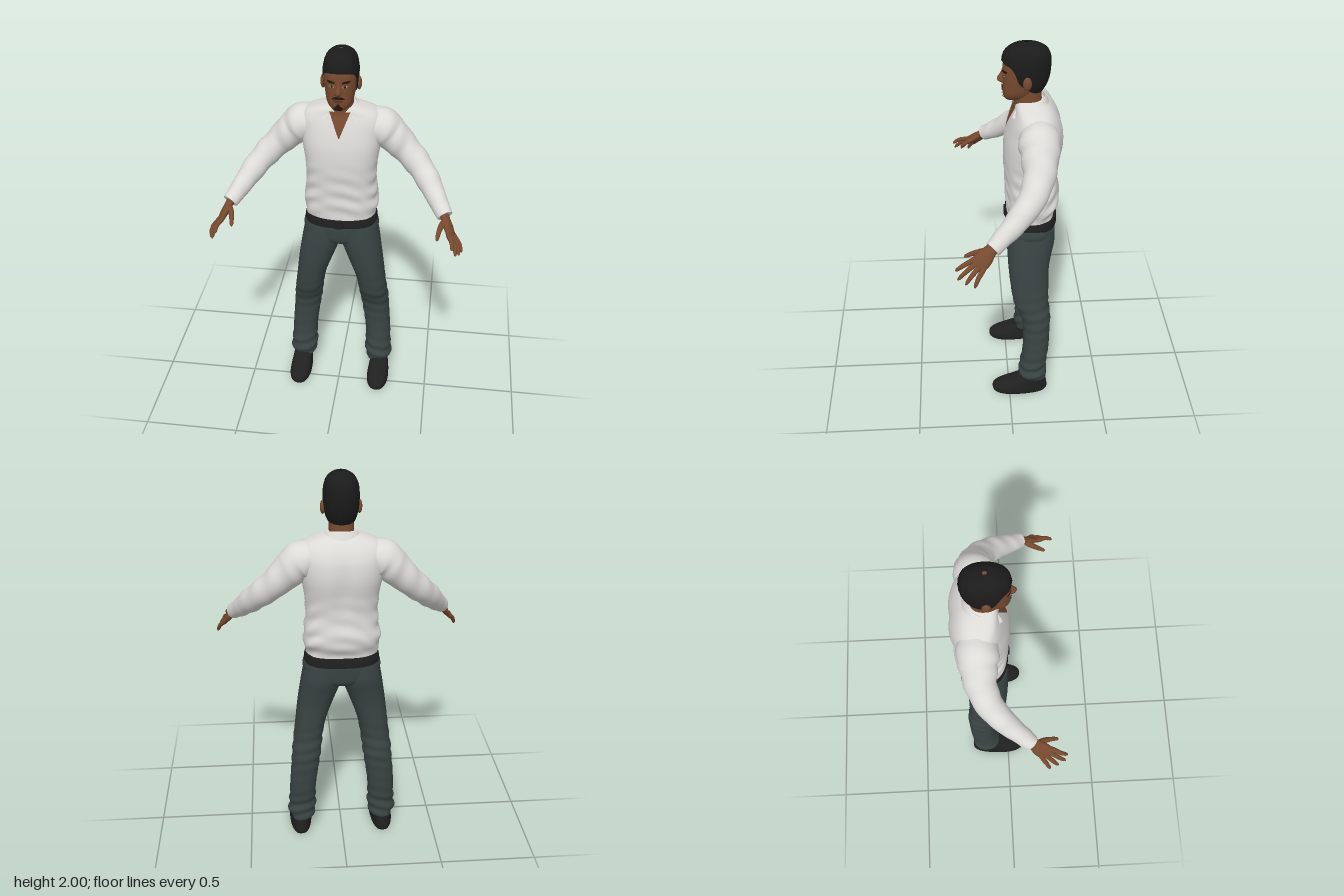
import * as THREE from 'three';

const V = (x, y, z) => new THREE.Vector3(x, y, z);
const mat = (name, color, double) => {
  const m = new THREE.MeshStandardMaterial({ color });
  m.name = name;
  if (double) m.side = THREE.DoubleSide;
  return m;
};

// Surface from f(u, v); rings can be closed and capped
function grid(f, nu, nv, closed = true, caps = closed) {
  const pos = [], idx = [], cols = closed ? nu : nu + 1;
  for (let i = 0; i <= nv; i++)
    for (let j = 0; j < cols; j++) pos.push(...f(j / nu, i / nv).toArray());
  for (let i = 0; i < nv; i++)
    for (let j = 0; j < nu; j++) {
      const k = (j + 1) % cols, a = i * cols + j, b = i * cols + k;
      idx.push(a, a + cols, b, b, a + cols, b + cols);
    }
  if (caps) for (const row of [0, nv]) {
    const start = pos.length / 3, mid = V(0, 0, 0);
    for (let j = 0; j < nu; j++) {
      const p = f(j / nu, row / nv);
      mid.addScaledVector(p, 1 / nu);
      pos.push(...p.toArray());
    }
    pos.push(...mid.toArray());
    for (let j = 0; j < nu; j++) {
      const a = start + j, b = start + (j + 1) % nu;
      idx.push(start + nu, row ? b : a, row ? a : b);
    }
  }
  const g = new THREE.BufferGeometry();
  g.setAttribute('position', new THREE.Float32BufferAttribute(pos, 3));
  g.setIndex(idx);
  g.computeVertexNormals();
  return g;
}

// Smooth interpolation of rows keyed by their first number
function sample(rows, y) {
  const n = rows.length - 1;
  let i = 0;
  while (i < n - 1 && y > rows[i + 1][0]) i++;
  const A = rows[i], B = rows[i + 1], h = B[0] - A[0];
  const t = Math.min(1, Math.max(0, (y - A[0]) / h));
  const slope = (k, c) => {
    const p = rows[Math.max(0, k - 1)], q = rows[Math.min(n, k + 1)];
    return (q[c] - p[c]) / (q[0] - p[0]);
  };
  return A.map((a, c) => a * (1 + 2 * t) * (1 - t) ** 2 + B[c] * t * t * (3 - 2 * t)
    + h * (slope(i, c) * t * (1 - t) ** 2 + slope(i + 1, c) * t * t * (t - 1)));
}

// Upright body with rows [y, xMin, xMax, zBack, zFront]
const pow = (c, e) => Math.sign(c) * Math.abs(c) ** e;
function bodyPoint(rows, ang, y, n) {
  const [, x0, x1, z0, z1] = sample(rows, y);
  return V((x0 + x1) / 2 + (x1 - x0) / 2 * pow(Math.cos(ang), 2 / n), y,
    (z0 + z1) / 2 + (z1 - z0) / 2 * pow(Math.sin(ang), 2 / n));
}
function body(rows, { n = 2.3, nu = 48, nv = 40, warp = p => p } = {}) {
  const lo = rows[0][0], hi = rows[rows.length - 1][0];
  return grid((u, v) => warp(bodyPoint(rows, u * Math.PI * 2, lo + (hi - lo) * v, n), u * Math.PI * 2), nu, nv);
}
const sym = rows => rows.map(([y, rx, back, front]) => [y, -rx, rx, back, front]);

// Thin plate on the front of a body, rows [y, xMin, xMax]
function plate(rows, bodyRows, n, lift) {
  return grid((u, v) => {
    const [y, x0, x1] = sample(rows, rows[0][0] + v * (rows[rows.length - 1][0] - rows[0][0]));
    const x = x1 + (x0 - x1) * u, [, a, b, z0, z1] = sample(bodyRows, y);
    const k = Math.min(1, Math.abs((x - (a + b) / 2) / ((b - a) / 2)));
    return V(x, y, (z0 + z1) / 2 + (z1 - z0) / 2 * (1 - k ** n) ** (1 / n) + lift);
  }, 10, 10, false);
}

// Limb along a path, rows [x, y, z, radius along ref, other radius]
function limb(rows, ref, nu = 12, nv = 16, fold = 0) {
  const path = new THREE.CatmullRomCurve3(rows.map(r => V(r[0], r[1], r[2])));
  const rad = new THREE.CatmullRomCurve3(rows.map(r => V(r[3], r[4] ?? r[3], 0)));
  return grid((u, v) => {
    const T = path.getTangent(v), U = ref.clone().addScaledVector(T, -T.dot(ref)).normalize();
    const W = U.clone().cross(T), r = rad.getPoint(v), a = u * Math.PI * 2;
    const k = 1 + fold * Math.sin(v * 40 + 2 * Math.sin(a)) * Math.sin(a + v * 5);
    return path.getPoint(v).addScaledVector(U, r.x * k * Math.cos(a)).addScaledVector(W, r.y * k * Math.sin(a));
  }, nu, nv);
}

function mirror(geo) {
  const g = geo.clone().scale(-1, 1, 1);
  g.index.array.reverse();
  return g;
}

export function createModel() {
  const man = new THREE.Group();
  man.name = 'man';
  const shirt = mat('shirt', 0xdcdbd8), collarCloth = mat('collar cloth', 0xdcdbd8, true);
  const skin = mat('skin', 0x784a2f), hair = mat('hair', 0x1c1b1c, true);
  const cloth = mat('trousers', 0x394443), leather = mat('leather', 0x202021);
  const beard = mat('beard', 0x25170f), lip = mat('lips', 0x5c3527), white = mat('eye white', 0xa0958c);
  const add = (name, geo, m) => {
    const mesh = new THREE.Mesh(geo, m);
    mesh.name = name;
    man.add(mesh);
  };
  const pair = (name, geo, m) => { add(name + 'Left', geo, m); add(name + 'Right', mirror(geo), m); };

  // Shirt body, with soft folds bunching at the waist
  const torso = sym([[1.075, .181, -.24, .002], [1.11, .185, -.24, .004], [1.16, .194, -.262, .008],
    [1.22, .188, -.262, .01], [1.3, .18, -.252, .014], [1.4, .185, -.26, .02], [1.5, .2, -.274, .014],
    [1.58, .207, -.268, -.004], [1.63, .208, -.25, -.02], [1.67, .18, -.225, -.035],
    [1.695, .12, -.2, -.04], [1.715, .06, -.17, -.05]]);
  add('shirtBody', body(torso, { n: 2.5, nu: 72, nv: 60, warp: (p, a) => {
    const k = .007 * Math.max(0, 1 - Math.abs(p.y - 1.2) / .25);
    const w = 1 + k * 5 * Math.sin(p.y * 70 + 3 * Math.sin(a * 2 + 1)) * Math.sin(a * 3 + .5);
    const spine = p.z < -.15 ? .012 * Math.exp(-((p.x / .04) ** 2)) * Math.exp(-(((p.y - 1.45) / .15) ** 2)) : 0;
    return p.set(p.x * w, p.y, -.125 + (p.z + .125) * w + spine);
  } }), shirt);
  pair('sleeve', limb([[.1, 1.6, -.14, .08], [.2, 1.578, -.14, .1, .094], [.25, 1.535, -.14, .092, .086],
    [.32, 1.467, -.132, .077, .073], [.39, 1.4, -.1, .068, .066], [.45, 1.335, -.04, .06],
    [.5, 1.272, .032, .049], [.543, 1.222, .097, .04]], V(0, 0, 1), 32, 60, .04), shirt);
  add('openNeck', plate([[1.565, -.002, .002], [1.62, -.024, .024], [1.69, -.052, .052]], torso, 2.5, .006), skin);

  // Folded collar, open at the front
  add('collar', grid((u, v) => {
    const fall = Math.max(0, (v - .35) / .65), gap = .6 + .12 * fall;
    const a = Math.PI / 2 + gap + u * (2 * Math.PI - 2 * gap), s = Math.sin(a), front = (s + 1) / 2;
    const top = 1.735 - .04 * front, low = 1.69 - .05 * front;
    const y = v < .35 ? top - (.35 - v) * .15 : top + (low - top) * fall;
    const rx = .075 + .042 * fall, rz = .07 + (s > 0 ? .055 : .022) * fall;
    return V(rx * Math.cos(a), y, -.112 + rz * s);
  }, 40, 10, false), collarCloth);

  // Neck and head
  add('neck', body(sym([[1.58, .07, -.18, -.045], [1.68, .062, -.17, -.035], [1.79, .06, -.16, -.03]]), { nv: 10 }), skin);
  const head = sym([[1.712, .022, -.07, .002], [1.722, .042, -.1, .014], [1.75, .062, -.125, .022],
    [1.8, .074, -.165, .022], [1.85, .08, -.185, .022], [1.9, .08, -.19, .018], [1.95, .066, -.175, 0],
    [1.98, .04, -.14, -.04]]);
  add('head', body(head), skin);
  add('nose', body(sym([[1.798, .01, -.01, .028], [1.808, .019, -.01, .044], [1.822, .016, -.01, .048],
    [1.845, .01, -.01, .034], [1.872, .008, -.01, .022]]), { nu: 20, nv: 14, n: 2 }), skin);
  pair('ear', new THREE.SphereGeometry(1, 16, 12).scale(.013, .034, .021).translate(.088, 1.825, -.09), skin);

  // Short hair; the lower edge follows forehead, sideburns and nape
  const hairRows = sym([[1.75, .064, -.165, -.01], [1.8, .08, -.192, .02], [1.85, .086, -.204, .026],
    [1.9, .087, -.208, .027], [1.94, .08, -.203, .02], [1.965, .069, -.19, .004], [1.985, .048, -.16, -.025],
    [1.995, .028, -.13, -.052], [2, .008, -.1, -.08]]);
  const edge = [[-1, 1.757], [-.3, 1.77], [0, 1.795], [.3, 1.825], [.42, 1.865], [.6, 1.895], [1, 1.912]];
  add('hair', grid((u, v) => {
    const a = u * Math.PI * 2, lo = sample(edge, Math.sin(a))[1];
    const p = bodyPoint(hairRows, a, lo + (2 - lo) * Math.sin(v * Math.PI / 2), 2.2);
    const k = 1 + .012 * Math.sin(a * 17 + v * 9) * Math.sin(v * 23 + a * 5);
    return p.set(p.x * k, p.y, -.09 + (p.z + .09) * k);
  }, 80, 28, true, false), hair);

  // Face details
  const face = (name, rows, m, lift = .004) => plate(rows, head, 2.3, lift);
  pair('eyebrow', face('', [[1.862, .018, .05], [1.868, .016, .056], [1.874, .03, .056]]), beard);
  pair('eye', face('', [[1.84, .026, .036], [1.846, .019, .046], [1.852, .027, .038]]), white);
  pair('iris', face('', [[1.841, .028, .034], [1.846, .026, .037], [1.852, .028, .035]], beard, .005), beard);
  add('moustache', face('', [[1.782, -.032, .032], [1.788, -.028, .028], [1.796, -.014, .014]]), beard);
  add('mouth', face('', [[1.765, -.012, .012], [1.772, -.024, .024], [1.78, -.02, .02]]), lip);
  add('goatee', face('', [[1.722, -.016, .016], [1.735, -.022, .022], [1.752, -.008, .008], [1.76, -.006, .006]]), beard);

  // Hands: palm, four fingers and a thumb
  const across = V(-.05, .06, .095).normalize(), palmEnd = V(.578, 1.157, .168);
  pair('palm', limb([[.53, 1.24, .08, .028, .024], [.547, 1.212, .11, .032, .02], [.564, 1.183, .14, .043, .019],
    [.578, 1.157, .168, .043, .015], [.583, 1.149, .176, .03, .008]], across, 18, 18), skin);
  [['index', .034, [.586, 1.135, .272]], ['middle', .012, [.606, 1.097, .263]],
    ['ring', -.011, [.623, 1.08, .227]], ['little', -.033, [.636, 1.071, .186]]].forEach(([name, off, tip]) => {
    const end = V(...tip), base = palmEnd.clone().addScaledVector(across, off);
    const at = (t, r) => [...base.clone().lerp(end, t).add(V(.008, .006, .004).multiplyScalar(Math.sin(Math.max(0, t) * Math.PI))).toArray(), r];
    pair(name + 'Finger', limb([at(-.2, .011), at(.1, .0125), at(.5, .011), at(.88, .0085), at(1, .003)], across, 10, 14), skin);
  });
  pair('thumb', limb([[.55, 1.215, .115, .016], [.53, 1.2, .15, .015], [.518, 1.182, .188, .012],
    [.512, 1.163, .222, .009], [.511, 1.158, .23, .003]], across, 10, 14), skin);

  // Trousers, with creases at the knee and bunching over the shoe
  add('hips', body(sym([[.915, .05, -.2, -.04], [.94, .14, -.235, -.006], [1, .197, -.246, .005],
    [1.075, .183, -.248, .004]]), { n: 2.5, nv: 20 }), cloth);
  pair('trouserLeg', body([[.09, .16, .276, -.2, -.064], [.12, .146, .288, -.206, -.058], [.17, .145, .285, -.2, -.06],
    [.3, .14, .28, -.215, -.075], [.45, .12, .268, -.22, -.074], [.52, .11, .262, -.22, -.06], [.6, .1, .252, -.21, -.026],
    [.7, .08, .24, -.21, -.01], [.8, .045, .228, -.212, 0], [.88, .015, .216, -.225, .004],
    [.95, -.01, .205, -.24, .005], [1.03, -.02, .19, -.24, 0]], { nv: 70, warp: (p, a) => {
    const k = .007 * Math.exp(-(((p.y - .14) / .09) ** 2)) + .003 * Math.exp(-(((p.y - .52) / .12) ** 2));
    const w = k * Math.sin(p.y * 95 + 2 * Math.sin(a + 1));
    return p.add(V(w * Math.cos(a), 0, w * Math.sin(a)));
  } }), cloth);

  // Belt and buckle
  add('belt', body(sym([[1.042, .191, -.254, .009], [1.065, .19, -.254, .01], [1.09, .184, -.25, .007]]), { n: 2.5, nv: 6 }), leather);
  add('buckle', new THREE.BoxGeometry(.04, .046, .01).translate(0, 1.066, .012), leather);

  // Shoes, narrower at the heel
  pair('shoe', body([[0, .168, .282, -.203, .083], [.012, .163, .287, -.21, .092], [.035, .164, .286, -.21, .091],
    [.055, .167, .283, -.207, .062], [.075, .17, .28, -.203, .005], [.1, .17, .276, -.195, -.055],
    [.13, .175, .27, -.19, -.07]], { n: 2.5, nv: 24, warp: p => {
    p.x = .225 + (p.x - .225) * (.9 + .1 * THREE.MathUtils.smoothstep(p.z, -.18, .02));
    return p;
  } }), leather);
  return man;
}
